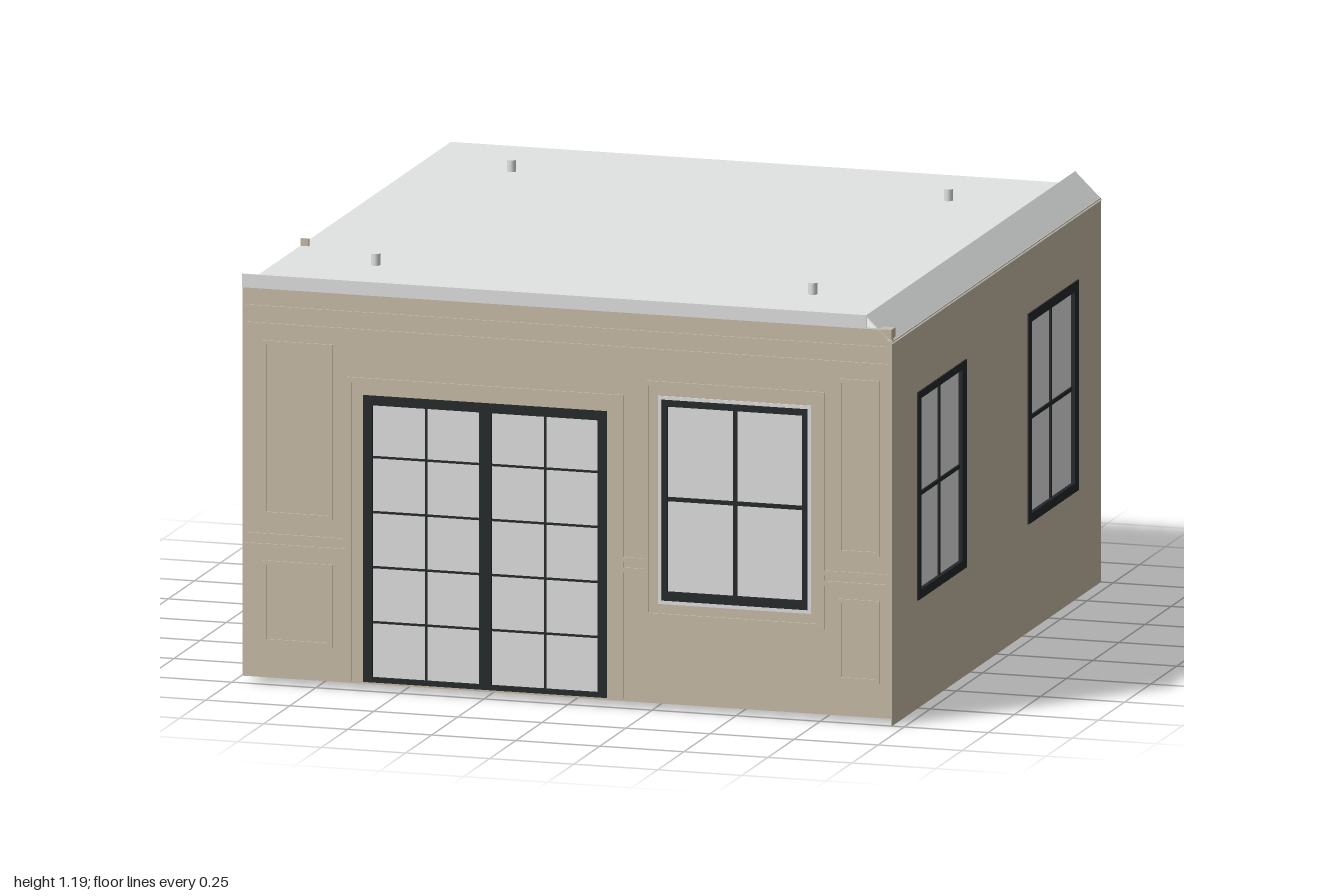
import * as THREE from 'three';

const mat = (name, color, side = THREE.FrontSide) => {
  const m = new THREE.MeshStandardMaterial({ color, side });
  m.name = name;
  return m;
};

export function createModel() {
  const tan = mat('wall tan', 0xcbbfaa);
  const gray = mat('ceiling and glass gray', 0xe2e4e3, THREE.DoubleSide);
  const black = mat('frame black', 0x25282a);
  const model = new THREE.Group();
  model.name = 'room';

  // Box from its limits
  const slab = (parent, name, m, x0, x1, y0, y1, z0, z1) => {
    const mesh = new THREE.Mesh(new THREE.BoxGeometry(x1 - x0, y1 - y0, z1 - z0), m);
    mesh.position.set((x0 + x1) / 2, (y0 + y1) / 2, (z0 + z1) / 2);
    mesh.name = name;
    parent.add(mesh);
    return mesh;
  };

  // Rectangular border made of four bars; t = [left, right, bottom, top]
  const border = (parent, name, m, [x0, x1, y0, y1], t, z0, z1) => {
    const [l, r, b, u] = Array.isArray(t) ? t : [t, t, t, t];
    slab(parent, name, m, x0, x0 + l, y0, y1, z0, z1);
    slab(parent, name, m, x1 - r, x1, y0, y1, z0, z1);
    slab(parent, name, m, x0 + l, x1 - r, y0, y0 + b, z0, z1);
    slab(parent, name, m, x0 + l, x1 - r, y1 - u, y1, z0, z1);
  };

  // Wall in its own xy plane with the outer face at z = 0
  const wall = (name, [x0, x1, y0, y1], holes, depth) => {
    const rect = (C, a, b, c, d) => {
      const p = new C();
      p.moveTo(a, c);
      p.lineTo(b, c);
      p.lineTo(b, d);
      p.lineTo(a, d);
      p.closePath();
      return p;
    };
    const s = rect(THREE.Shape, x0, x1, y0, y1);
    for (const [a, b, c, d] of holes) s.holes.push(rect(THREE.Path, a, b, c, d));
    const mesh = new THREE.Mesh(new THREE.ExtrudeGeometry(s, { depth, bevelEnabled: false }), tan);
    mesh.position.z = -depth;
    mesh.name = name;
    const g = new THREE.Group();
    g.name = name + 'Group';
    g.add(mesh);
    model.add(g);
    return g;
  };

  // Glazed opening: frame, pane and thin bars
  const glazing = (parent, name, r, t, xs, ys, bar, out) => {
    const g = new THREE.Group();
    g.name = name;
    parent.add(g);
    const [x0, x1, y0, y1] = r;
    border(g, 'windowFrame', black, r, t, -0.02, out);
    slab(g, 'glass', gray, x0 + 0.005, x1 - 0.005, y0 + 0.005, y1 - 0.005, -0.014, -0.008);
    for (const x of xs) slab(g, 'verticalBar', black, x - bar, x + bar, y0, y1, -0.018, -0.003);
    for (const y of ys) slab(g, 'horizontalBar', black, x0, x1, y - bar, y + bar, -0.018, -0.003);
  };

  // Front wall with double door and window
  const winHole = [0.277, 0.712, 0.32, 0.905];
  const front = wall('frontWall', [-0.97, 0.962, 0.02, 1.152], [[-0.61, 0.115, 0.026, 0.86], winHole], 0.014);
  front.position.z = 0.996;
  const rows = [0.2, 0.36, 0.52, 0.68];
  glazing(front, 'leftLeaf', [-0.61, -0.2475, 0.026, 0.86], [0.026, 0.018, 0.014, 0.028], [-0.425], rows, 0.003, 0.003);
  glazing(front, 'rightLeaf', [-0.2475, 0.115, 0.026, 0.86], [0.018, 0.028, 0.014, 0.028], [-0.07], rows, 0.003, 0.003);
  glazing(front, 'frontWindow', winHole, [0.017, 0.017, 0.026, 0.02], [0.494], [0.615], 0.006, 0.002);
  border(front, 'windowTrim', gray, [0.267, 0.722, 0.31, 0.915], 0.01, -0.018, 0.003);

  // Casings, panels, rails and cornice on both faces of the front wall
  for (const [z0, z1] of [[0, 0.004], [-0.024, -0.014]]) {
    border(front, 'windowCasing', tan, [0.225, 0.762, 0.268, 0.957], 0.014, z0, z1);
    for (const [a, b, c, d] of [[-0.66, -0.645, 0.026, 0.91], [0.15, 0.165, 0.026, 0.91], [-0.645, 0.15, 0.895, 0.91]])
      slab(front, 'doorCasing', tan, a, b, c, d, z0, z1);
    for (const [a, b] of [[-0.91, -0.7], [0.8, 0.925]]) {
      border(front, 'upperPanel', tan, [a, b, 0.49, 1.0], 0.012, z0, z1);
      border(front, 'lowerPanel', tan, [a, b, 0.12, 0.36], 0.012, z0, z1);
    }
    for (const [a, b] of [[-0.96, -0.66], [0.165, 0.225], [0.762, 0.955]])
      for (const y of [0.395, 0.425]) slab(front, 'chairRail', tan, a, b, y, y + 0.014, z0, z1);
    for (const y of [1.035, 1.085]) slab(front, 'cornice', tan, -0.96, 0.955, y, y + 0.016, z0, z1);
  }
  slab(model, 'corniceEnd', tan, 0.925, 0.962, 1.125, 1.152, 0.963, 1.0);

  // Right wall with two windows; local x runs toward the back
  const rightHoles = [[-0.76, -0.294, 0.315, 0.92], [0.295, 0.775, 0.315, 0.927]];
  const right = wall('rightWall', [-1, 1, 0.022, 1.118], rightHoles, 0.012);
  right.rotation.y = Math.PI / 2;
  right.position.x = 0.964;
  glazing(right, 'sideWindowFront', rightHoles[0], [0.03, 0.045, 0.027, 0.022], [-0.535], [0.617], 0.006, 0.004);
  glazing(right, 'sideWindowBack', rightHoles[1], [0.032, 0.037, 0.027, 0.028], [0.535], [0.617], 0.006, 0.004);
  slab(right, 'baseStrip', tan, -1, 1, 0, 0.022, -0.003, 0);
  slab(right, 'innerBaseboard', tan, -0.96, 0.98, 0.026, 0.12, -0.022, -0.012);
  slab(right, 'innerChairRail', tan, -0.96, -0.8, 0.4, 0.44, -0.022, -0.012);
  slab(right, 'innerChairRail', tan, -0.25, 0.25, 0.4, 0.44, -0.022, -0.012);

  // Back wall with panelled door, stopping short of the right wall
  slab(model, 'backWall', tan, -0.97, 0.915, 0.02, 1.15, -0.996, -0.98);
  slab(model, 'cornerFill', gray, 0.915, 0.952, 0.36, 1.12, -0.985, -0.98);
  slab(model, 'cornerBase', tan, 0.915, 0.952, 0.022, 0.33, -0.985, -0.98);
  border(model, 'doorCasing', tan, [-0.89, -0.55, 0.026, 0.985], [0.025, 0.025, 0.005, 0.02], -1.0, -0.996);
  for (const [c, d] of [[0.1, 0.36], [0.51, 0.92]])
    border(model, 'doorPanel', tan, [-0.83, -0.61, c, d], 0.008, -0.999, -0.996);
  const knob = new THREE.Mesh(new THREE.SphereGeometry(0.014, 12, 8), black);
  knob.position.set(-0.59, 0.4, -0.993);
  knob.scale.z = 0.5;
  knob.name = 'doorKnob';
  model.add(knob);

  // Left wall: set back between posts, open near the back corner
  slab(model, 'leftWall', tan, -0.905, -0.89, 0.026, 1.15, -0.37, 0.97);
  slab(model, 'openingCasing', tan, -0.945, -0.89, 0.026, 1.05, -0.43, -0.37);
  slab(model, 'middlePilaster', tan, -0.968, -0.9, 0.026, 1.15, 0.405, 0.45);
  slab(model, 'pilasterTip', tan, -0.97, -0.945, 1.14, 1.175, 0.432, 0.441);
  slab(model, 'frontPost', tan, -0.968, -0.89, 0.026, 1.15, 0.9, 0.982);
  slab(model, 'frontPostRail', tan, -0.97, -0.885, 0.4, 0.44, 0.885, 0.982);
  slab(model, 'backPost', tan, -0.97, -0.92, 0.026, 1.15, -0.98, -0.955);
  slab(model, 'outlet', tan, -0.909, -0.905, 0.08, 0.11, 0.125, 0.165);

  // Floor, gray outer edges and rug
  slab(model, 'floor', tan, -0.9, 0.952, 0.02, 0.026, -0.98, 0.965);
  slab(model, 'openingFloor', tan, -0.97, -0.9, 0.021, 0.026, -0.98, -0.4);
  slab(model, 'leftFloorEdge', gray, -0.97, -0.9, 0.021, 0.026, -0.4, 0.982);
  slab(model, 'frontFloorEdge', gray, -0.9, 0.952, 0.021, 0.025, 0.965, 0.982);
  slab(model, 'rug', tan, -0.21, 0.825, 0.018, 0.03, -0.47, 0.54);

  // Flat ceiling, raised front edge and thin sloped strip along the right side
  slab(model, 'ceiling', gray, -0.97, 0.92, 1.15, 1.154, -1, 0.998);
  slab(model, 'ceilingFrontEdge', gray, -0.97, 0.887, 1.152, 1.19, 0.996, 1.0);
  const cove = new THREE.Shape();
  cove.moveTo(0.887, 1.19);
  cove.lineTo(0.885, 1.187);
  cove.lineTo(0.963, 1.11);
  cove.lineTo(0.967, 1.112);
  const slope = new THREE.Mesh(new THREE.ExtrudeGeometry(cove, { depth: 2, bevelEnabled: false }), gray);
  slope.position.z = -1;
  slope.name = 'slopedCeiling';
  model.add(slope);

  // Small ceiling lights standing through the ceiling
  for (const x of [-0.69, 0.61]) for (const z of [-0.68, 0.62]) {
    const lamp = new THREE.Mesh(new THREE.CylinderGeometry(0.013, 0.013, 0.044, 16), gray);
    lamp.position.set(x, 1.166, z);
    lamp.name = 'ceilingLight';
    model.add(lamp);
  }
  return model;
}
